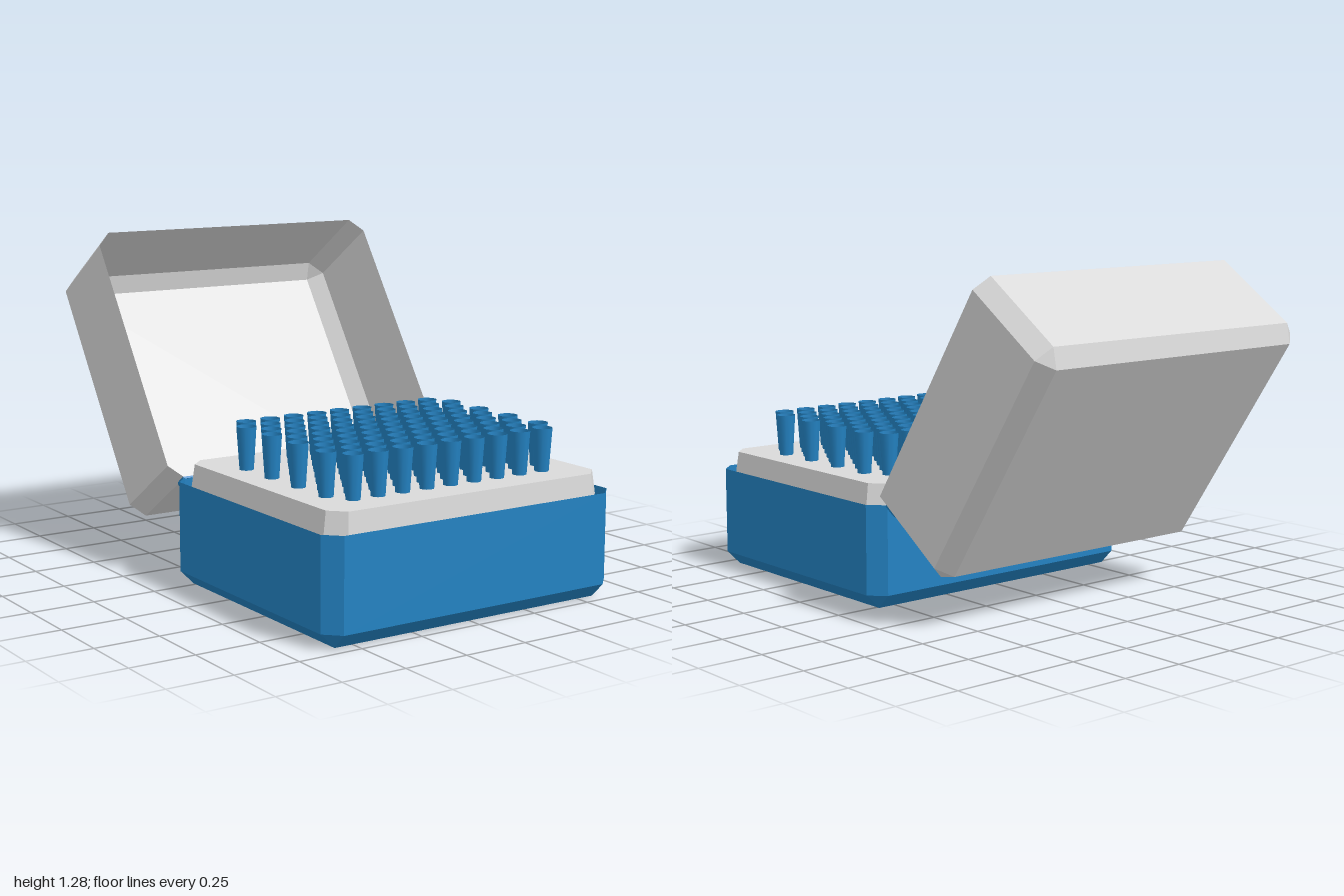
import * as THREE from 'three';

const blue = new THREE.MeshStandardMaterial({ color: 0x2382c2, side: THREE.DoubleSide });
blue.name = 'blue plastic';
const grey = new THREE.MeshStandardMaterial({ color: 0xd9d9d9, side: THREE.DoubleSide });
grey.name = 'pale grey plastic';

// Rectangle with cut corners, counter-clockwise seen from above
function ring(hx, hz, cut, y) {
  return [
    [hx, hz - cut], [hx, cut - hz], [hx - cut, -hz], [cut - hx, -hz],
    [-hx, cut - hz], [-hx, hz - cut], [cut - hx, hz], [hx - cut, hz],
  ].map(([x, z]) => [x, y, z]);
}

// Faceted skin through rings from bottom to top, with optional end caps
function loft(rings, capBottom, capTop) {
  const pos = [];
  const tri = (a, b, c) => {
    const same = (p, q) => p.every((v, i) => Math.abs(v - q[i]) < 1e-6);
    if (!same(a, b) && !same(b, c) && !same(c, a)) pos.push(...a, ...b, ...c);
  };
  for (let r = 0; r < rings.length - 1; r++) {
    const a = rings[r], b = rings[r + 1];
    for (let i = 0; i < 8; i++) {
      const j = (i + 1) % 8;
      tri(a[i], a[j], b[j]);
      tri(a[i], b[j], b[i]);
    }
  }
  const first = rings[0], last = rings[rings.length - 1];
  for (let i = 1; i < 7; i++) {
    if (capBottom) tri(first[0], first[i + 1], first[i]);
    if (capTop) tri(last[0], last[i], last[i + 1]);
  }
  const geo = new THREE.BufferGeometry();
  geo.setAttribute('position', new THREE.Float32BufferAttribute(pos, 3));
  geo.computeVertexNormals();
  return geo;
}

// Open-topped shell with bevelled floor edges
function shell(hx, hz, height, bevel) {
  return loft([
    ring(hx - bevel, hz - bevel, 0, 0),
    ring(hx, hz, bevel, bevel),
    ring(hx, hz, bevel, height),
  ], true, false);
}

function add(parent, name, geo, mat, x = 0, y = 0, z = 0) {
  const mesh = new THREE.Mesh(geo, mat);
  mesh.name = name;
  mesh.position.set(x, y, z);
  parent.add(mesh);
  return mesh;
}

export function createModel() {
  const model = new THREE.Group();
  model.name = 'tipRackBox';
  const midZ = 0.465;

  // Box bottom
  add(model, 'base', shell(0.63, 0.535, 0.4, 0.057), blue, 0, 0, midZ);

  // Raised tray with slightly sloping sides
  add(model, 'tray', loft([
    ring(0.6, 0.505, 0.06, 0.38),
    ring(0.587, 0.495, 0.055, 0.47),
  ], false, true), grey, 0, 0, midZ + 0.005);

  // Hollow tapered tips in staggered rows of nine and ten
  const tips = new THREE.Group();
  tips.name = 'tips';
  model.add(tips);
  const tipGeo = new THREE.CylinderGeometry(0.038, 0.027, 0.162, 10, 1, true);
  for (let row = 0; row < 9; row++) {
    const count = row % 2 ? 10 : 9;
    for (let i = 0; i < count; i++) {
      add(tips, 'tip', tipGeo, blue, (i - (count - 1) / 2) * 0.1045, 0.55, 0.122 + row * 0.0878);
    }
  }

  // Lid swung open about the top back edge of the base
  const lid = new THREE.Group();
  lid.name = 'lidAssembly';
  lid.position.set(0, 0.4, -0.07);
  lid.rotation.x = 0.98;
  model.add(lid);
  add(lid, 'lid', shell(0.63, 0.53, 0.435, 0.055), grey, 0, -0.435, -0.53);

  // Hinge flap with rounded corners set into the lid wall
  const w = 0.58, h = 0.085, r = 0.05;
  const flap = new THREE.Shape();
  flap.moveTo(w, 0);
  flap.lineTo(-w, 0);
  flap.lineTo(-w, r - h);
  flap.quadraticCurveTo(-w, -h, r - w, -h);
  flap.lineTo(w - r, -h);
  flap.quadraticCurveTo(w, -h, w, r - h);
  flap.closePath();
  add(lid, 'hingeFlap', new THREE.ExtrudeGeometry(flap, { depth: 0.008, bevelEnabled: false, curveSegments: 6 }),
    blue, 0, 0, -0.004);

  return model;
}
